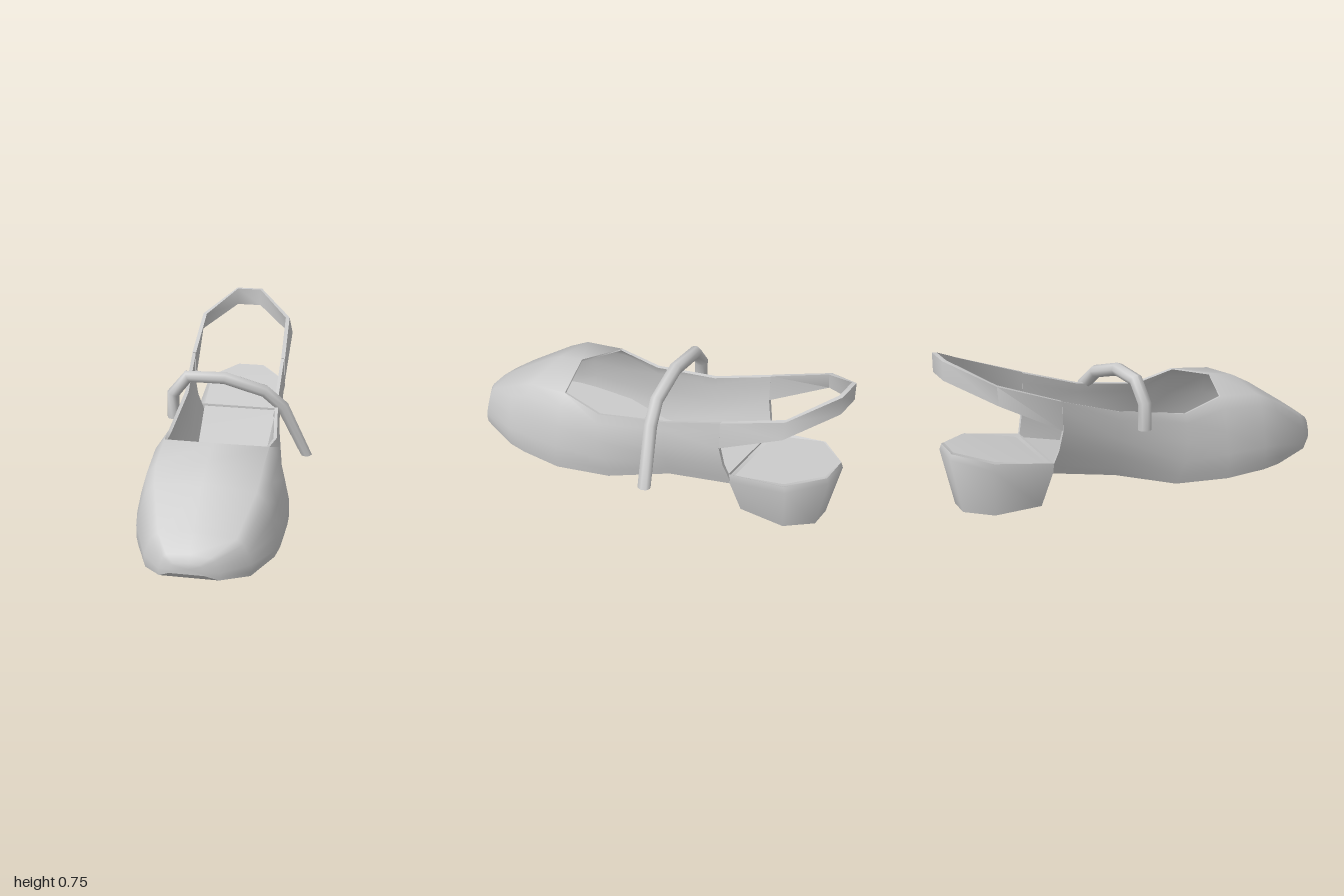
import * as THREE from 'three';
import { toCreasedNormals } from 'three/addons/utils/BufferGeometryUtils.js';

const material = new THREE.MeshStandardMaterial({ color: 0xcccccc, side: THREE.DoubleSide });

// Skins one or more grids; a grid is a list of equally long rows of [x, y, z] points.
function skin(name, ...grids) {
  const points = [], index = [];
  for (const rows of grids) {
    const n = rows[0].length, base = points.length;
    points.push(...rows.flat());
    for (let r = 0; r < rows.length - 1; r++) {
      for (let i = 0; i < n - 1; i++) {
        const a = base + r * n + i;
        index.push(a, a + 1, a + n, a + 1, a + n + 1, a + n);
      }
    }
  }
  const g = new THREE.BufferGeometry();
  g.setAttribute('position', new THREE.Float32BufferAttribute(points.flat(), 3));
  g.setIndex(index);
  const mesh = new THREE.Mesh(toCreasedNormals(g, 1.0), material);
  mesh.name = name;
  return mesh;
}

const close = row => [...row, row[0]];

// Row collapsed to the middle of another row, used as an end cap.
function collapse(row) {
  const mid = [0, 1, 2].map(k => row.reduce((s, p) => s + p[k], 0) / row.length);
  return row.map(() => mid);
}

// Half section: [share of half width, share of height], sole edge to opening edge
const PROFILE = [[0.98, 0], [1, 0.11], [1, 0.3], [0.935, 0.55], [0.85, 0.8], [0.72, 0.92]];

// Stations: z, centre x, half width, bottom y, top y, sole share, inward curl, back slant
const TOE = [
  [1.0, -0.03, 0.08, 0.07, 0.125, 0.98, 1, 0],
  [0.975, -0.025, 0.135, 0.04, 0.155, 0.98, 1, 0],
  [0.89, -0.005, 0.24, 0.025, 0.215, 0.98, 1, 0],
  [0.68, -0.01, 0.322, 0.01, 0.355, 0.98, 1, 0],
  [0.58, -0.014, 0.338, 0.006, 0.41, 0.98, 1, 0],
  [0.36, -0.018, 0.346, 0.005, 0.44, 0.98, 1, 0],
];
const SIDES = [
  TOE[5],
  [0.13, -0.03, 0.3, 0.005, 0.39, 0.9, 0.4, 0.03],
  [-0.2, -0.048, 0.248, 0.085, 0.455, 0.76, 0.1, 0],
  [-0.52, -0.065, 0.25, 0.175, 0.56, 0.82, 0.05, 0.03],
];

function halfSection([z, c, w, yb, yt, s, curl, slant], side, inset) {
  return PROFILE.map(([fx, fy]) => {
    const lower = s + (1 - s) * fy / (0.11 + (0.98 - s) * 1.8);
    const f = Math.min(1 - (1 - fx) * curl, lower);
    const dz = fy < 0.55 ? -slant * (1 - fy / 0.275) : slant * 0.7;
    return [c + side * (w - inset) * f, yb + (yt - yb) * fy - inset * 0.2, z + dz];
  });
}

function toeRow(st, inset) {
  const z = st === TOE[5] ? 0.44 : st[0];
  const top = [-0.02, st[4] - inset * 0.5, z];
  return [...halfSection(st, 1, inset), top, ...halfSection(st, -1, inset).reverse()];
}

// Side wall rows, mirrored so both sides wind like the toe
function wallRows(side, inset) {
  return SIDES.map(st => {
    const row = halfSection(st, side, inset);
    return side > 0 ? row : row.reverse();
  });
}

// Closed toe box with open sides, lining and the thin edges between them
function upper() {
  const g = new THREE.Group();
  g.name = 'upper';
  const outer = TOE.map(st => toeRow(st, 0));
  const inner = TOE.slice(2).map(st => toeRow(st, 0.018));
  const tip = close(outer[0]);
  const edges = [1, -1].flatMap(side => {
    const out = SIDES.map(st => halfSection(st, side, 0));
    const lin = SIDES.map(st => halfSection(st, side, 0.018));
    return [[out.map(r => r[5]), lin.map(r => r[5])], [out[3], lin[3]]];
  });
  g.add(skin('shell', [collapse(tip), tip], outer, wallRows(1, 0), wallRows(-1, 0)));
  g.add(skin('lining', inner, wallRows(1, 0.018), wallRows(-1, 0.018)));
  g.add(skin('rim', [outer[5].slice(5, 8), inner[3].slice(5, 8)], ...edges));
  return g;
}

// Rows across the shoe between the two sole edges
function soleRows(stations, lift, inset) {
  return stations.map(st => [1, -1].map(side => {
    const [x, y, z] = halfSection(st, side, inset)[0];
    return [x, y + lift, z];
  }));
}

// Footbed running from the toe box over the heel
function insole() {
  return skin('insole', [
    ...soleRows([...TOE.slice(2), ...SIDES.slice(1)], 0.045, 0.015),
    [[0.13, 0.283, -0.82], [-0.27, 0.283, -0.82]],
    [[0, 0.308, -0.965], [-0.14, 0.308, -0.965]],
  ]);
}

// Thin band looping behind the heel
function heelStrap() {
  // x, z, lower y, upper y, inward lean of the upper edge
  const path = [
    [0.185, -0.5, 0.39, 0.53, 0], [0.183, -0.82, 0.565, 0.65, 0.018],
    [-0.015, -1, 0.66, 0.75, 0], [-0.155, -1, 0.66, 0.75, 0],
    [-0.333, -0.81, 0.565, 0.65, 0.02], [-0.313, -0.5, 0.39, 0.53, 0],
  ];
  const rows = path.map(([x, z, y0, y1, lean]) => {
    const s = x > -0.08 ? 1 : -1;
    const back = z < -0.9;
    const dx = back ? -0.006 * s : -0.02 * s, dz = back ? 0.02 : z < -0.6 ? 0.008 : 0;
    return close([[x, y0, z], [x - s * lean, y1, z], [x - s * lean + dx, y1, z + dz], [x + dx, y0, z + dz]]);
  });
  return skin('heelStrap', rows);
}

// Round strap bent over the instep
function instepStrap() {
  const pts = [
    [-0.325, 0.33, -0.088], [-0.325, 0.458, -0.088], [-0.25, 0.551, -0.095], [-0.063, 0.553, -0.098],
    [0.135, 0.488, -0.12], [0.225, 0.4, -0.145], [0.343, 0.13, -0.187],
  ].map(p => new THREE.Vector3(...p));
  const last = pts.length - 1;
  const rows = pts.map((p, i) => {
    const a = p.clone().sub(pts[Math.max(i - 1, 0)]).normalize();
    const b = pts[Math.min(i + 1, last)].clone().sub(p).normalize();
    const t = a.add(b).normalize();
    const u = new THREE.Vector3(0, 0, 1).addScaledVector(t, -t.z).normalize();
    const v = new THREE.Vector3().crossVectors(t, u);
    return close(Array.from({ length: 8 }, (_, k) => {
      const q = k / 8 * Math.PI * 2;
      const m = p.clone().addScaledVector(u, 0.034 * Math.cos(q)).addScaledVector(v, 0.032 * Math.sin(q));
      if (i === last) m.y = 0.13;
      return m.toArray();
    }));
  });
  return skin('instepStrap', [collapse(rows[0]), ...rows, collapse(rows[last])]);
}

// Block heel with a shallow lip around its seat
function heel() {
  const ring = (w, zf, zb, yf, yb) => close([
    [1, 0], [1, 0.66], [0.35, 1], [-0.35, 1], [-1, 0.66], [-1, 0],
  ].map(([fx, f]) => [-0.07 + w * fx, yf + (yb - yf) * f, zf + (zb - zf) * f]));
  const rows = [
    ring(0.16, -0.58, -0.93, 0, 0),
    ring(0.215, -0.54, -0.985, 0.185, 0.275),
    ring(0.212, -0.535, -0.975, 0.226, 0.303),
    ring(0.195, -0.535, -0.955, 0.215, 0.29),
  ];
  return skin('heel', [collapse(rows[0]), ...rows, collapse(rows[3])]);
}

export function createModel() {
  const shoe = new THREE.Group();
  shoe.name = 'shoe';
  shoe.add(upper(), skin('sole', soleRows([...TOE, ...SIDES.slice(1)], 0, 0)), insole());
  shoe.add(heelStrap(), instepStrap(), heel());
  return shoe;
}
